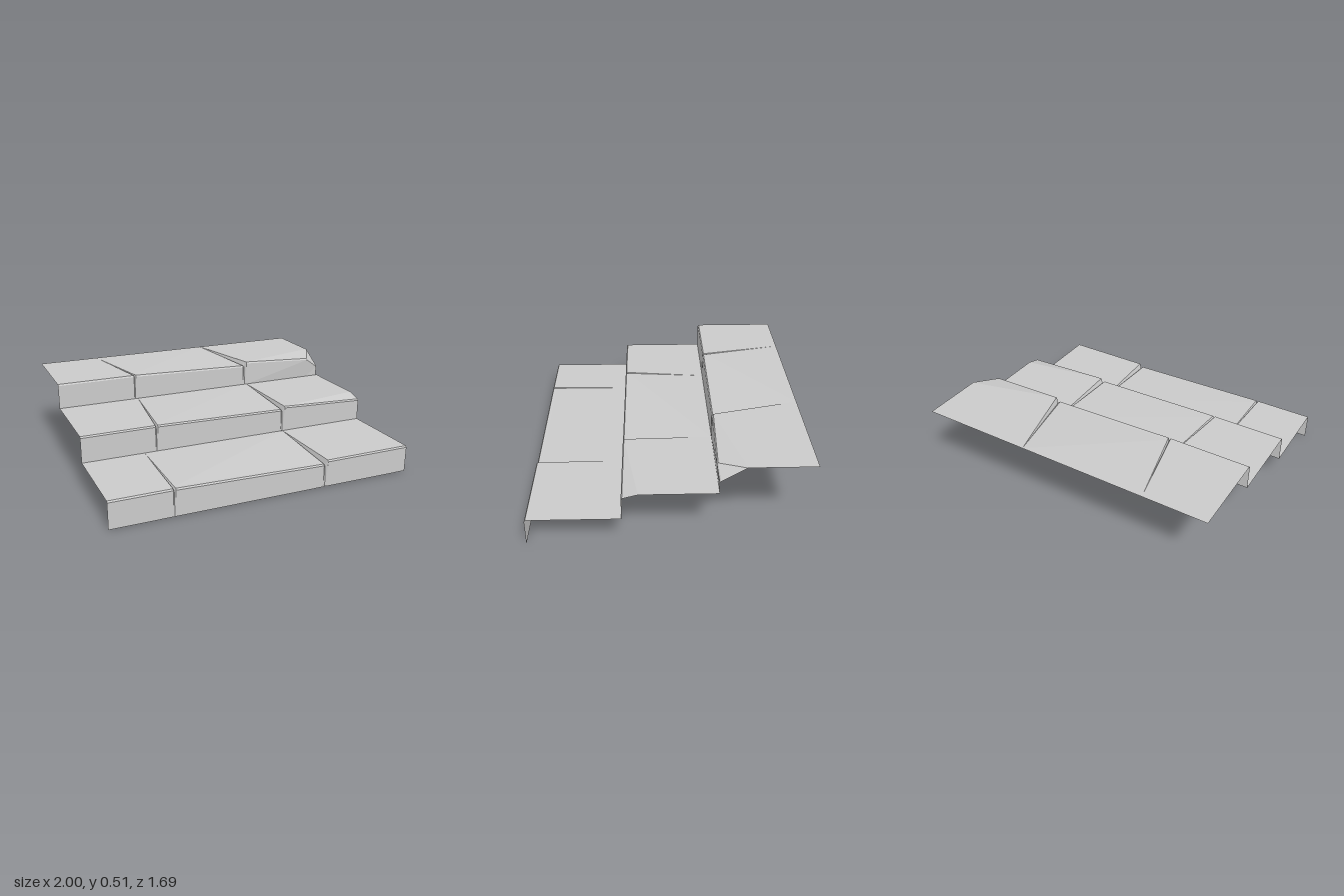
import * as THREE from 'three';

const material = new THREE.MeshStandardMaterial({
  color: 0xcccccc, flatShading: true, side: THREE.DoubleSide,
});

// Each step is a thin folded sheet: riser, small lip and tread, cut by two
// tapering cracks. The middle slab sags towards its front right corner.
const STEPS = [
  { name: 'lowerStep', y0: 0, y1: 0.175, front: 0.845, back: 0.28,
    left: [-0.605, -0.595], right: [0.395, 0.395], sag: 0.022, end: 1 },
  { name: 'middleStep', y0: 0.175, y1: 0.347, front: 0.28, back: -0.287,
    left: [-0.51, -0.45], right: [0.395, 0.395], sag: 0.018, end: 1,
    worn: [[1, 0.025, 0, 0.1]] },
  { name: 'upperStep', y0: 0.345, y1: 0.515, front: -0.287, back: -0.845,
    left: [-0.465, -0.59], right: [0.38, 0.25], sag: 0.025, end: 0.99,
    worn: [[0.9, 0.025, 0.013, 0.135], [0.99, 0.09, 0.002, 0.153]] },
];

// One crack as three columns: two rims and a recessed bottom that closes at the back
function crack([front, back], half, depth, recess, dropLeft) {
  return [
    { front: front - half, back, drop: dropLeft },
    { front, back, drop: depth, recess },
    { front: front + half, back, drop: 0 },
  ];
}

function createStep(s) {
  // Columns from the right-hand end (-x) to the left-hand end (+x)
  const columns = [
    { front: -1, back: -1, drop: 0 },
    ...crack(s.left, 0.008, 0.014, 0.008, 0),
    ...crack(s.right, 0.014, 0.036, 0.012, s.sag),
  ];
  // Worn front edge: x, drop of the edge, bulge forward, distance back to the crease
  const worn = s.worn ?? [[s.end, 0, 0, 0.028]];
  for (const [x, drop, bulge, crease] of worn) {
    columns.push({ front: x, back: x, drop, recess: -bulge, crease });
  }

  // Rows: riser foot, riser top, lip, crease, back of tread
  const points = columns.map((c) => {
    const recess = c.recess ?? 0;
    const z = s.front - recess;
    const t = (c.crease ?? 0.028) / (s.front - s.back);
    const creaseY = c.crease ? s.y1 : s.y1 - c.drop * (1 - t);
    return [
      [c.front, s.y0, s.front - Math.max(0, recess) * 0.4],
      [c.front, s.y1 - c.drop - 0.01, z],
      [c.front, s.y1 - c.drop, z - 0.007],
      [THREE.MathUtils.lerp(c.front, c.back, t), creaseY, THREE.MathUtils.lerp(s.front, s.back, t)],
      [c.back, s.y1, s.back],
    ];
  });
  const rows = points[0].length;
  const index = [];
  for (let i = 0; i < points.length - 1; i++) {
    for (let j = 0; j < rows - 1; j++) {
      const a = i * rows + j, b = a + rows;
      index.push(a, b, b + 1, a, b + 1, a + 1);
    }
  }
  const geometry = new THREE.BufferGeometry();
  geometry.setAttribute('position', new THREE.Float32BufferAttribute(points.flat(2), 3));
  geometry.setIndex(index);
  geometry.computeVertexNormals();
  const mesh = new THREE.Mesh(geometry, material);
  mesh.name = s.name;
  return mesh;
}

export function createModel() {
  const group = new THREE.Group();
  group.name = 'crackedStoneSteps';
  for (const step of STEPS) group.add(createStep(step));
  return group;
}
